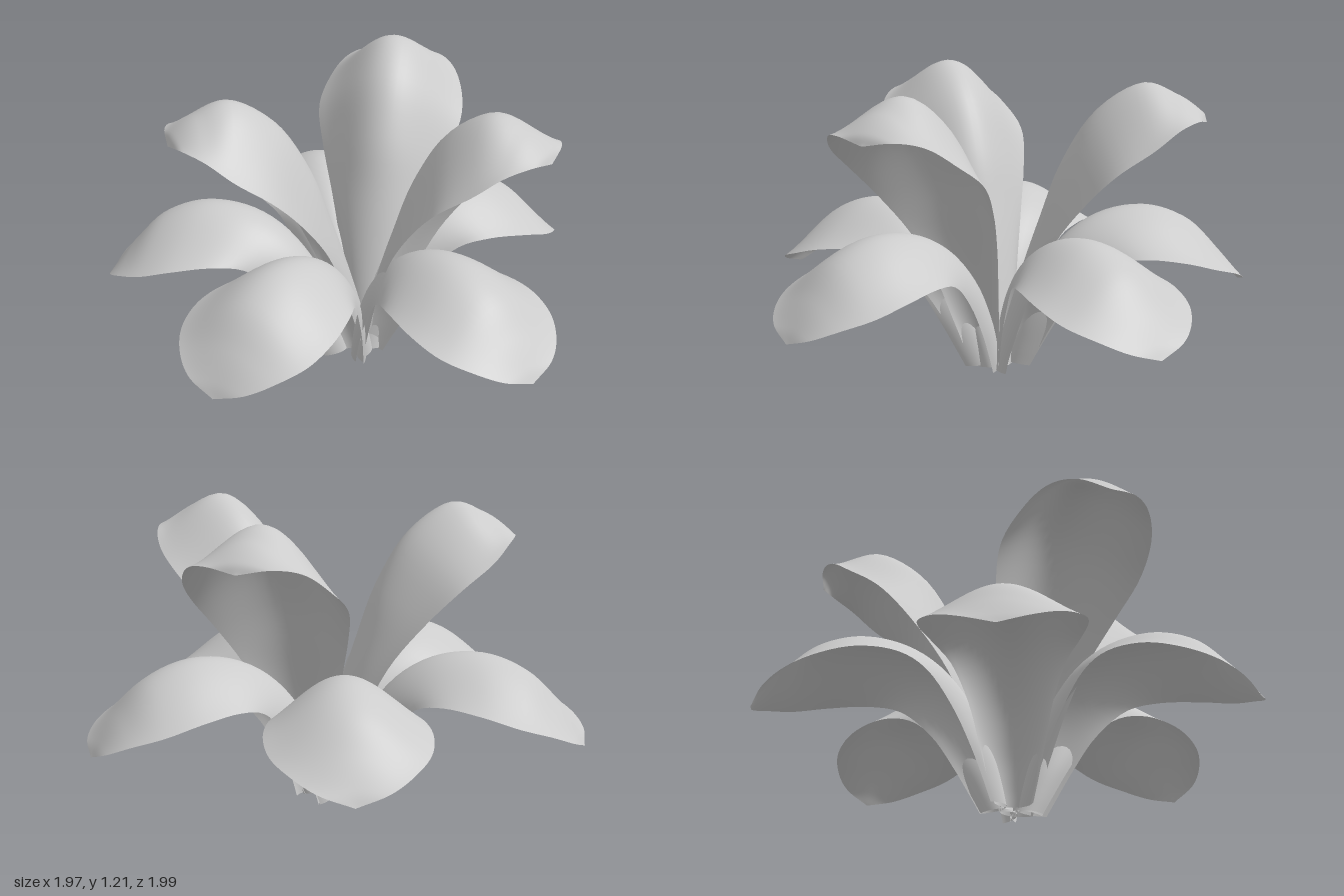
import * as THREE from 'three';

const ROWS = 60, COLS = 24;

// Stations from base to tip: [midrib radius, midrib height, edge radius, edge height, half width]
const LOW = [
  [0.0, 0.015, 0.085, 0.005, 0.075], [0.02, 0.1, 0.12, 0.08, 0.095], [0.06, 0.23, 0.18, 0.2, 0.125],
  [0.14, 0.4, 0.265, 0.34, 0.16], [0.27, 0.55, 0.38, 0.455, 0.215], [0.43, 0.635, 0.51, 0.49, 0.275],
  [0.61, 0.65, 0.67, 0.475, 0.308], [0.78, 0.585, 0.81, 0.435, 0.29], [0.9, 0.465, 0.92, 0.395, 0.22],
  [0.98, 0.365, 0.99, 0.35, 0.125], [1.015, 0.31, 1.015, 0.31, 0],
];
const TALL = [
  [-0.02, 0.015, 0.045, 0.005, 0.07], [0.0, 0.1, 0.065, 0.09, 0.085], [0.04, 0.25, 0.11, 0.23, 0.115],
  [0.1, 0.45, 0.175, 0.42, 0.155], [0.17, 0.66, 0.26, 0.6, 0.205], [0.25, 0.88, 0.385, 0.77, 0.27],
  [0.38, 1.09, 0.51, 0.9, 0.312], [0.56, 1.21, 0.645, 0.995, 0.287], [0.7, 1.17, 0.735, 1.065, 0.225],
  [0.79, 1.11, 0.795, 1.085, 0.13], [0.82, 1.065, 0.82, 1.065, 0],
];

const smoothCurve = (points) => new THREE.CatmullRomCurve3(points, false, 'catmullrom');
const { lerp, smoothstep, degToRad } = THREE.MathUtils;

// Lofts a cross-section between the midrib and the mirrored edges
function petalGeometry(stations) {
  const midrib = smoothCurve(stations.map(([r, y]) => new THREE.Vector3(r, y, 0)));
  const edge = smoothCurve(stations.map(([, , r, y, w]) => new THREE.Vector3(r, y, w)));
  const positions = [], index = [];
  for (let i = 0; i <= ROWS; i++) {
    const t = Math.sin((Math.PI / 2) * (i / ROWS)); // rows gather at the tip
    const m = midrib.getPoint(t), e = edge.getPoint(t);
    const blade = smoothstep(t, 0.15, 0.6); // round trough at the stem, bell-shaped ridge on the blade
    for (let j = 0; j <= COLS; j++) {
      const u = (j / COLS) * 2 - 1, a = u * 1.35;
      const arc = (1 - Math.cos(a)) / (1 - Math.cos(1.35));
      const bell = 0.5 * u * u + 0.25 * (1 - Math.cos(Math.PI * u));
      const drop = lerp(arc, bell, blade);
      const side = lerp(Math.sin(a) / Math.sin(1.35), u, blade);
      positions.push(lerp(m.x, e.x, drop), lerp(m.y, e.y, drop), e.z * side);
    }
  }
  for (let i = 0; i < ROWS; i++) {
    for (let j = 0; j < COLS; j++) {
      const p = i * (COLS + 1) + j, q = p + COLS + 1;
      index.push(p, p + 1, q, q, p + 1, q + 1);
    }
  }
  const geometry = new THREE.BufferGeometry();
  geometry.setAttribute('position', new THREE.Float32BufferAttribute(positions, 3));
  geometry.setIndex(index);
  geometry.computeVertexNormals();
  return geometry;
}

export function createModel() {
  const model = new THREE.Group();
  model.name = 'flower';
  const material = new THREE.MeshStandardMaterial({ color: 0xcccccc, side: THREE.DoubleSide });

  // Each placement: [base x, base z, heading in degrees from +x towards +z]
  const addRing = (name, stations, placements) => {
    const ring = new THREE.Group();
    ring.name = name + 's';
    const geometry = petalGeometry(stations);
    placements.forEach(([x, z, heading], i) => {
      const petal = new THREE.Mesh(geometry, material);
      petal.name = name + (i + 1);
      petal.position.set(x, 0, z);
      petal.rotation.y = -degToRad(heading);
      ring.add(petal);
    });
    model.add(ring);
  };

  // Five drooping outer petals
  addRing('outerPetal', LOW, [
    [0.0, -0.03, 17], [0.02, -0.02, 89], [-0.03, -0.01, 156], [-0.05, -0.04, 225], [-0.025, -0.04, 293],
  ]);
  // Three upright inner petals
  addRing('innerPetal', TALL, [[0.04, -0.02, 0], [0.035, -0.06, 125], [0.04, -0.06, 248]]);

  return model;
}
